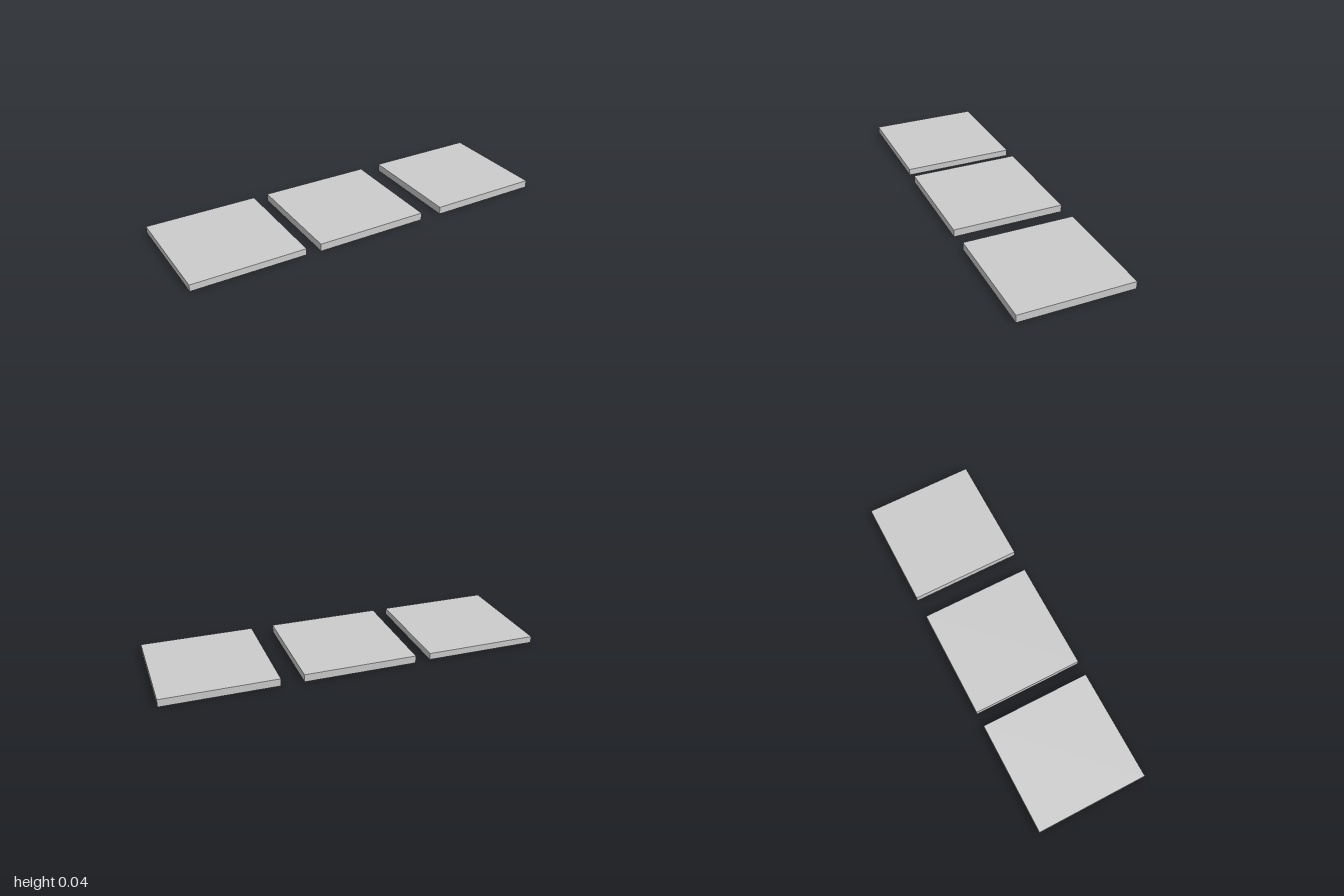
import * as THREE from 'three';

const SIZE = 0.6, TOP = 0.04;
const material = new THREE.MeshStandardMaterial({ color: 0xcccccc, flatShading: true });

// Box spanning y0..y1, centred on x, z
function addBox(parent, name, w, d, y0, y1, x = 0, z = 0) {
  const mesh = new THREE.Mesh(new THREE.BoxGeometry(w, y1 - y0, d), material);
  mesh.name = name;
  mesh.position.set(x, (y0 + y1) / 2, z);
  parent.add(mesh);
}

// Square slab pierced by rectangular holes given as [x0, x1, halfDepth]
function addFrame(parent, name, holes, y0, y1) {
  const h = SIZE / 2;
  const rect = (Type, x0, x1, d) =>
    new Type([[x0, -d], [x1, -d], [x1, d], [x0, d]].map(([x, y]) => new THREE.Vector2(x, y)));
  const shape = rect(THREE.Shape, -h, h, h);
  shape.holes = holes.map(([x0, x1, d]) => rect(THREE.Path, x0, x1, d));
  const geometry = new THREE.ExtrudeGeometry(shape, { depth: y1 - y0, bevelEnabled: false });
  geometry.rotateX(-Math.PI / 2).translate(0, y0, 0);
  const mesh = new THREE.Mesh(geometry, material);
  mesh.name = name;
  parent.add(mesh);
}

function addTile(parent, name, x) {
  const tile = new THREE.Group();
  tile.name = name;
  tile.position.x = x;
  parent.add(tile);
  return tile;
}

export function createModel() {
  const model = new THREE.Group();
  model.name = 'tileSet';

  // Tile with four long grooves underneath
  const grooved = addTile(model, 'groovedTile', 0.7);
  const width = 0.11, pitch = 0.15;
  const grooves = [0, 1, 2, 3].map((i) => {
    const x0 = -0.28 + i * pitch;
    return [x0, x0 + width, 0.28];
  });
  addBox(grooved, 'groovedTop', SIZE, SIZE, 0.022, TOP);
  addFrame(grooved, 'groovedUnderside', grooves, 0, 0.022);

  // Plain tile
  const plain = addTile(model, 'plainTile', -0.02);
  addBox(plain, 'plainSlab', SIZE, SIZE, 0, TOP);

  // Tile with a thin rim and nested square panels underneath
  const panelled = addTile(model, 'panelledTile', -0.7);
  addBox(panelled, 'panelledTop', SIZE, SIZE, 0.025, TOP);
  addFrame(panelled, 'rim', [[-0.29, 0.29, 0.29]], 0.005, 0.025);
  addBox(panelled, 'outerPanel', 0.49, 0.49, 0.022, 0.025);
  addBox(panelled, 'innerPanel', 0.38, 0.38, 0.019, 0.022);

  return model;
}
